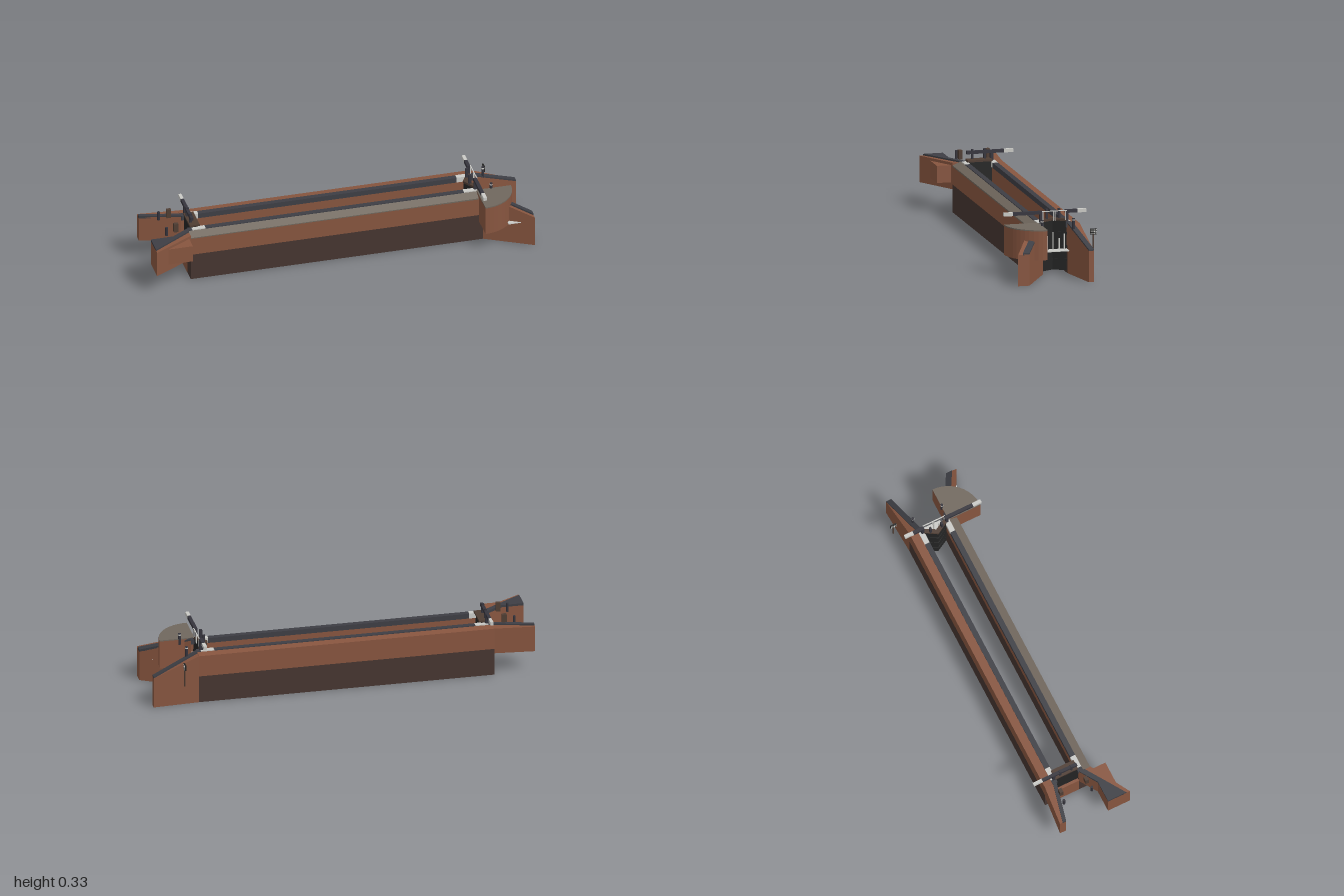
import * as THREE from 'three';

const mat = (name, color) => Object.assign(new THREE.MeshStandardMaterial({ color }), { name });

export function createModel() {
  const brick = mat('brick', 0x87553f);
  const wetBrick = mat('wet brick', 0x463530);
  const coping = mat('dark coping', 0x3d3e44);
  const paving = mat('paving', 0x70675d);
  const black = mat('black timber', 0x242424);
  const beamPaint = mat('beam paint', 0x35343c);
  const light = mat('light paint', 0xcacac6);
  const wood = mat('brown wood', 0x4f3d33);

  const model = new THREE.Group();
  model.name = 'canalLock';

  const add = (name, geo, material) => {
    const mesh = new THREE.Mesh(geo, material);
    mesh.name = name;
    model.add(mesh);
    return mesh;
  };
  // Box given by its minimum and maximum on each axis
  const box = (name, m, x0, x1, y0, y1, z0, z1) => {
    const g = new THREE.BoxGeometry(x1 - x0, y1 - y0, z1 - z0);
    g.translate((x0 + x1) / 2, (y0 + y1) / 2, (z0 + z1) / 2);
    return add(name, g, m);
  };
  // Solid over an x/z plan; bottom and top may be heights or rules of (x, z)
  const slab = (name, m, plan, bottom, top) => {
    const shape = new THREE.Shape(plan.map(([x, z]) => new THREE.Vector2(x, -z)));
    const g = new THREE.ExtrudeGeometry(shape, { depth: 1, bevelEnabled: false });
    g.rotateX(-Math.PI / 2);
    const p = g.attributes.position;
    for (let i = 0; i < p.count; i++) {
      const rule = p.getY(i) > 0.5 ? top : bottom;
      p.setY(i, typeof rule === 'function' ? rule(p.getX(i), p.getZ(i)) : rule);
    }
    g.computeVertexNormals();
    return add(name, g, m);
  };
  const post = (name, m, r, x, y0, y1, z) => {
    const g = new THREE.CylinderGeometry(r, r, y1 - y0, 10);
    g.translate(x, (y0 + y1) / 2, z);
    return add(name, g, m);
  };

  const x0 = -0.79, x1 = 0.76, mid = -0.035;
  const zIn = 0.065, zOut = 0.13;
  const zAt = (s, d) => mid + s * d;
  const span = (a, b) => [Math.min(a, b), Math.max(a, b)];

  // Chamber walls with copings and light quoins
  for (const s of [1, -1]) {
    const side = s > 0 ? 'front' : 'back';
    const wall = span(zAt(s, zIn), zAt(s, zOut));
    const edge = span(zAt(s, 0.059), zAt(s, 0.087));
    box(side + 'LowerWall', wetBrick, x0, x1, 0, 0.145, ...wall);
    box(side + 'UpperWall', brick, x0, x1, 0.145, 0.24, ...wall);
    box(side + 'Coping', coping, -0.70, 0.67, 0.24, 0.267, ...edge);
    box(side + 'UpperQuoin', light, -0.77, -0.70, 0.24, 0.268, ...edge);
    box(side + 'LowerQuoin', light, 0.67, 0.74, 0.24, 0.268, ...edge);
    box(side + 'UpperCopingEnd', coping, x0, -0.77, 0.24, 0.267, ...edge);
    box(side + 'LowerCopingEnd', coping, 0.74, x1, 0.24, 0.267, ...edge);
    // Path beside the coping, falling gently outwards
    const inner = zAt(s, 0.087), outer = zAt(s, zOut);
    const fall = s > 0 ? 0.018 : 0.004;
    slab(side + 'Path', s > 0 ? paving : brick,
      [[x0, inner], [x1, inner], [x1, outer], [x0, outer]], 0.238,
      (x, z) => 0.263 - fall * Math.abs((z - inner) / (outer - inner)));
  }
  box('upperSill', brick, x0, -0.72, 0, 0.13, zAt(-1, zIn), zAt(1, zIn));

  // Splayed wing walls: inner and outer line at the end, coping width
  const wing = (name, s, xa, xb, endIn, endOut, width, base, rule) => {
    const a = zAt(s, zIn), b = zAt(s, zOut);
    slab(name, brick, [[xa, a], [xb, endIn], [xb, endOut], [xa, b]], base, (x) => rule(x) - 0.008);
    slab(name + 'Coping', coping,
      [[xa, a], [xb, endIn], [xb, endIn + s * width], [xa, a + s * width]],
      (x) => rule(x) - 0.014, rule);
  };
  const level = () => 0.267;
  const slope = (x) => 0.267 - 0.095 * Math.max(0, (x - x1) / (1 - x1));
  wing('frontLowerWing', 1, x1, 1, 0.165, 0.225, 0.035, 0, slope);
  wing('backLowerWing', -1, x1, 1, -0.15, -0.178, 0.028, 0, slope);
  wing('frontUpperWing', 1, x0, -1, 0.165, 0.215, 0.03, 0.12, level);
  wing('backUpperWing', -1, x0, -1, -0.15, -0.185, 0.02, 0.12, level);

  // Corner landing and buttress at the upper front wing
  const corner = [[-0.88, 0.09], [-1, 0.09], [-1, 0.17]];
  slab('cornerLanding', brick, corner, 0.12, 0.255);
  slab('cornerCoping', coping, corner, 0.255, 0.267);
  box('buttress', brick, -0.93, -0.80, 0.155, 0.245, 0.09, 0.175);

  // Quarter-round bastion
  const arc = [[0.737, 0.047]];
  for (let i = 0; i <= 12; i++) {
    const t = (i / 12) * Math.PI / 2;
    arc.push([0.737 + 0.183 * Math.cos(t), 0.047 + 0.183 * Math.sin(t)]);
  }
  slab('bastion', brick, arc, 0.11, 0.262);
  slab('bastionPaving', paving, arc, 0.262, 0.268);

  // Lower mitre gates, their beams and posts
  for (const s of [1, -1]) {
    const side = s > 0 ? 'front' : 'back';
    const leaf = (t) => [[0.725, zAt(s, zIn)], [0.69 - t, mid], [0.71 + t, mid], [0.745 + t, zAt(s, zIn)]];
    slab(side + 'GateLeaf', black, leaf(0), 0.012, 0.27);
    slab(side + 'GateCap', wood, leaf(0.003), 0.27, 0.282);
    for (const y of [0.06, 0.13, 0.2]) slab(side + 'GateRail', black, leaf(0.004), y, y + 0.012);
    const end = s > 0 ? 0.232 : -0.205, tip = s > 0 ? 0.184 : -0.157;
    box(side + 'BalanceBeam', beamPaint, 0.726, 0.744, 0.312, 0.328, ...span(zAt(s, 0.06), tip));
    box(side + 'BeamTip', light, 0.726, 0.744, 0.311, 0.329, ...span(tip, end));
    box(side + 'HeelPost', beamPaint, 0.726, 0.746, 0.26, 0.326, ...span(zAt(s, 0.062), zAt(s, 0.076)));
    box(side + 'PaddleGear', beamPaint, 0.708, 0.722, 0.27, 0.332, ...span(zAt(s, 0.027), zAt(s, 0.038)));
    // Handrail on each leaf
    for (const d of [0.004, 0.06]) {
      const z = zAt(s, d);
      box(side + 'RailPost', light, 0.742, 0.747, 0.275, 0.328, z - 0.002, z + 0.002);
    }
    box(side + 'Handrail', light, 0.742, 0.747, 0.324, 0.328, ...span(mid, zAt(s, 0.066)));
    // Bollards
    const zb = zAt(s, 0.083);
    post(side + 'LowerBollard', beamPaint, 0.007, 0.815, 0.235, 0.298, zb);
    post(side + 'BollardBand', light, 0.0078, 0.815, 0.287, 0.293, zb);
    post(side + 'UpperBollard', beamPaint, 0.007, -0.905, 0.25, 0.298, zAt(s, 0.08));
    box(side + 'MooringPost', wood, -0.866, -0.842, 0.262, 0.31, ...span(zAt(s, 0.064), zAt(s, 0.082)));
  }

  // Leaks spilling through the lower gates
  box('spillPlate', light, 0.745, 0.80, 0.123, 0.127, -0.1, 0.03);
  [[0.007, 0.2], [-0.023, 0.22], [-0.055, 0.188], [-0.083, 0.21]].forEach(([z, y]) =>
    box('leak', light, 0.762, 0.767, 0.127, y, z - 0.003, z + 0.003));

  // Upper single gate with balance beam
  box('upperGate', black, -0.775, -0.735, 0.13, 0.27, -0.1, 0.03);
  box('upperGateCap', wood, -0.778, -0.725, 0.27, 0.28, -0.1, 0.03);
  box('upperHeelPost', beamPaint, -0.775, -0.755, 0.26, 0.32, -0.113, -0.098);
  box('upperBeam', beamPaint, -0.773, -0.757, 0.306, 0.322, -0.17, 0.028);
  box('upperBeamTip', light, -0.773, -0.757, 0.305, 0.323, -0.22, -0.17);
  for (const z of [-0.003, -0.068]) box('upperPaddleGear', beamPaint, -0.772, -0.758, 0.27, 0.33, z - 0.005, z + 0.005);

  // Outfall ledge on the lower front wing
  box('outfallLedge', light, 0.87, 0.94, 0.123, 0.127, 0.13, 0.19);

  // Notice board on a post, with small light panels
  box('noticePost', wood, 0.842, 0.848, 0.12, 0.215, -0.218, -0.212);
  box('noticeBoard', black, 0.841, 0.849, 0.215, 0.245, -0.232, -0.198);
  for (let i = 0; i < 4; i++) for (let j = 0; j < 3; j++) {
    const z = -0.2275 + i * 0.0083, y = 0.221 + j * 0.009;
    box('noticePanel', light, 0.84, 0.85, y - 0.0025, y + 0.0025, z - 0.0025, z + 0.0025);
  }
  return model;
}
